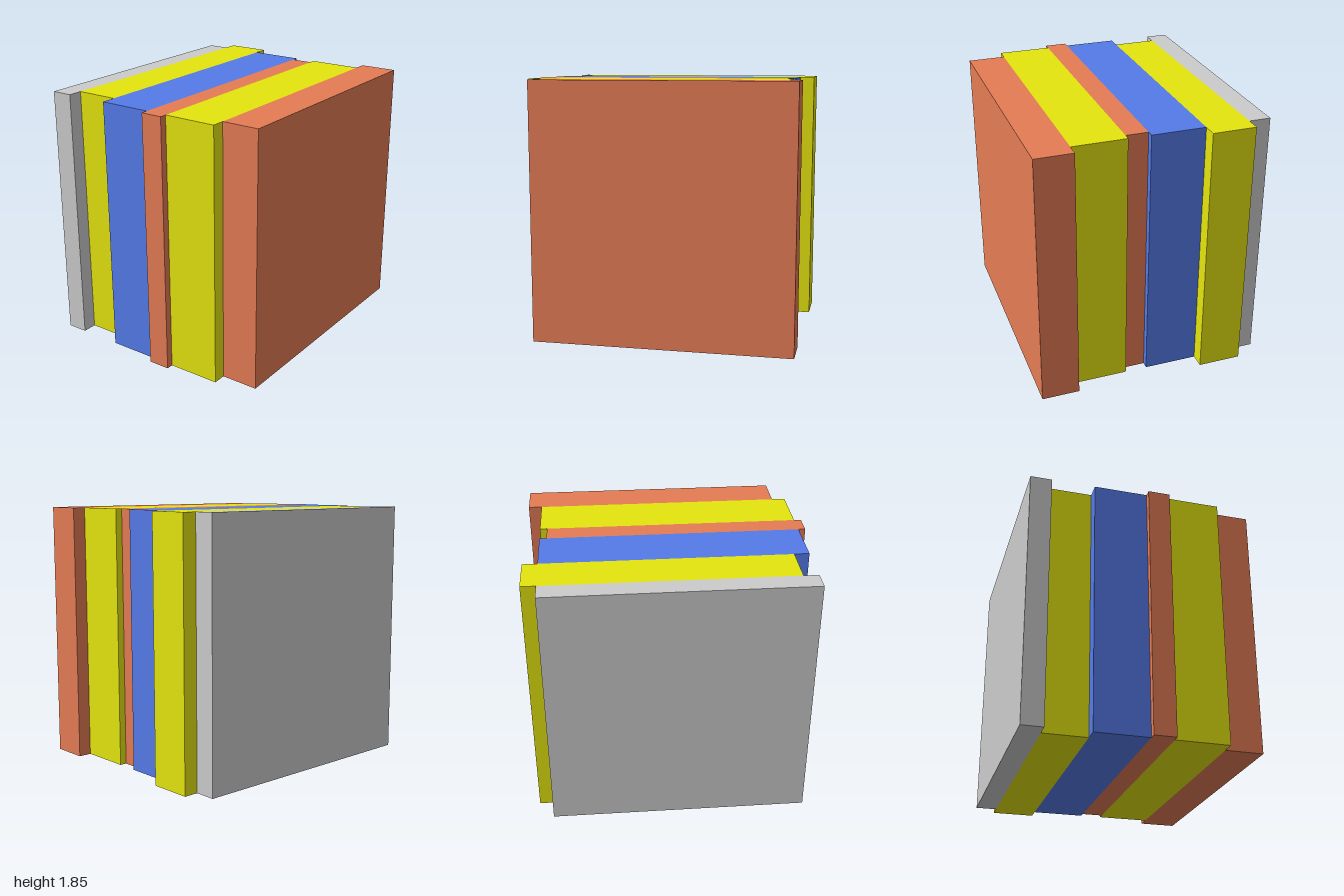
import * as THREE from 'three';

// Row of upright books, all the same height and depth, pushed in by different amounts
const HEIGHT = 1.847, DEPTH = 1.847;
const GREY = 0xcccccc, YELLOW = 0xe5e50f, BLUE = 0x557bea, RED = 0xe57c55;

// Name, left edge x, right edge x, front z, colour
const BOOKS = [
  ['greyBook', -0.825, -0.672, 0.95, GREY],
  ['wideYellowBook', -0.672, -0.363, 0.845, YELLOW],
  ['blueBook', -0.363, 0.018, 0.95, BLUE],
  ['thinRedBook', 0.018, 0.175, 1.0, RED],
  ['thickYellowBook', 0.175, 0.557, 0.95, YELLOW],
  ['endRedBook', 0.557, 0.825, 0.855, RED],
];

export function createModel() {
  const row = new THREE.Group();
  row.name = 'bookRow';
  for (const [name, x0, x1, front, color] of BOOKS) {
    const book = new THREE.Mesh(
      new THREE.BoxGeometry(x1 - x0, HEIGHT, DEPTH),
      new THREE.MeshStandardMaterial({ color })
    );
    book.name = name;
    book.position.set((x0 + x1) / 2, HEIGHT / 2, front - DEPTH / 2);
    row.add(book);
  }
  return row;
}
